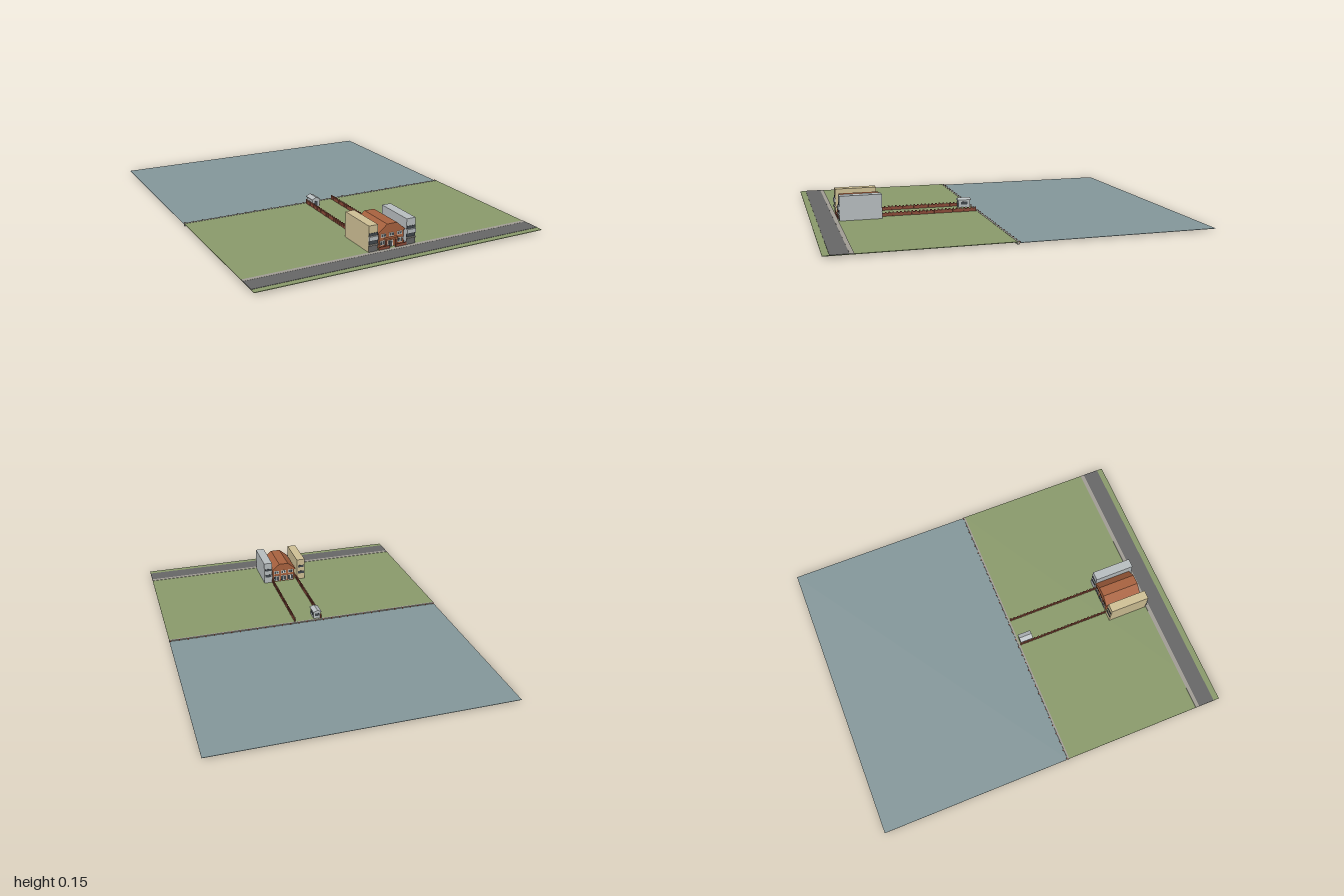
import * as THREE from 'three';

const material = (name, color) => {
  const m = new THREE.MeshStandardMaterial({ color });
  m.name = name;
  return m;
};

export function createModel() {
  const root = new THREE.Group();
  root.name = 'seasidePlot';
  const grass = material('grass', 0x8a9a6b);
  const water = material('water', 0x84979a);
  const asphalt = material('asphalt', 0x676767);
  const stone = material('stone', 0xa09c94);
  const roofTile = material('roofTile', 0xa8623f);
  const brick = material('brick', 0x8a4a38);
  const cream = material('cream', 0xcfc095);
  const grey = material('paleGrey', 0xb8bec0);
  const glass = material('darkGlass', 0x41474c);
  const white = material('whiteTrim', 0xe2dfd6);

  // Box given by its limits on each axis
  const box = (parent, name, mat, [x0, x1], [y0, y1], [z0, z1]) => {
    const mesh = new THREE.Mesh(new THREE.BoxGeometry(x1 - x0, y1 - y0, z1 - z0), mat);
    mesh.position.set((x0 + x1) / 2, (y0 + y1) / 2, (z0 + z1) / 2);
    mesh.name = name;
    parent.add(mesh);
    return mesh;
  };
  const group = (name) => {
    const g = new THREE.Group();
    g.name = name;
    root.add(g);
    return g;
  };
  // Outline in x and y carried along z
  const prism = (parent, name, mat, points, z0, z1) => {
    const shape = new THREE.Shape(points.map(([x, y]) => new THREE.Vector2(x, y)));
    const mesh = new THREE.Mesh(new THREE.ExtrudeGeometry(shape, { depth: z1 - z0, bevelEnabled: false }), mat);
    mesh.position.z = z0;
    mesh.name = name;
    parent.add(mesh);
  };

  // Land, water, road and sea wall
  const W = [-0.806, 0.806], G = 0.014;
  const land = group('land');
  box(land, 'lawn', grass, W, [0.011, G], [0.075, 1]);
  box(land, 'sea', water, W, [0.007, 0.009], [-1, 0.068]);
  box(land, 'pavement', stone, W, [G, 0.016], [0.855, 0.876]);
  box(land, 'road', asphalt, W, [G, 0.0155], [0.876, 0.967]);
  box(land, 'seaWall', stone, W, [0, 0.0155], [0.067, 0.077]);
  for (let i = 0; i < 33; i++) {
    const x = -0.8 + i * 0.05;
    box(land, 'seaWallPost', brick, [x - 0.003, x + 0.003], [0.001, 0.016], [0.062, 0.067]);
  }

  // Garden walls with piers
  const garden = group('gardenWalls');
  for (const x of [-0.089, 0.07]) {
    box(garden, 'gardenWall', brick, [x - 0.0025, x + 0.0025], [G, 0.032], [0.08, 0.83]);
    for (let i = 0; i < 26; i++) {
      const z = 0.085 + i * 0.0212;
      box(garden, 'wallPier', brick, [x - 0.004, x + 0.004], [G, 0.038], [z - 0.004, z + 0.004]);
    }
  }
  for (const [a, b] of [[-0.088, -0.025], [0.008, 0.07]])
    box(garden, 'frontWall', brick, [a, b], [G, 0.03], [0.849, 0.854]);

  // Shed with a shallow pitched roof
  const shed = group('shed');
  box(shed, 'shedBody', grey, [-0.087, -0.045], [G, 0.055], [0.084, 0.152]);
  prism(shed, 'shedRoof', grey, [[-0.092, 0.053], [-0.042, 0.053], [-0.042, 0.057], [-0.067, 0.068], [-0.092, 0.057]], 0.08, 0.156);
  box(shed, 'shedWindow', glass, [-0.0445, -0.043], [0.03, 0.046], [0.1, 0.138]);
  box(shed, 'shedDoor', glass, [-0.076, -0.058], [G, 0.045], [0.152, 0.1535]);
  box(shed, 'shedSeaWindow', glass, [-0.08, -0.053], [0.03, 0.046], [0.0825, 0.084]);

  // Blocks of flats on both sides, with window bands and balconies
  for (const [name, mat, a, b] of [['leftwardFlats', cream, -0.144, -0.093], ['rightwardFlats', grey, 0.071, 0.122]]) {
    const flats = group(name);
    box(flats, 'flatsBody', mat, [a, b], [G, 0.149], [0.62, 0.848]);
    for (const [y0, y1] of [[0.096, 0.11], [0.053, 0.07]]) {
      box(flats, 'windowBand', glass, [a, b], [y0, y1], [0.848, 0.85]);
      box(flats, 'rearWindows', glass, [a + 0.006, b - 0.006], [y0, y1], [0.618, 0.62]);
    }
    box(flats, 'garageDoor', asphalt, [a, b], [G, 0.048], [0.848, 0.85]);
    box(flats, 'balconyFront', grey, [a, b], [0.072, 0.094], [0.848, 0.856]);
    box(flats, 'balconySlab', stone, [a, b], [0.047, 0.053], [0.848, 0.858]);
  }

  // House body and long roof with a flat ridge
  const house = group('house');
  box(house, 'houseWalls', roofTile, [-0.074, 0.066], [G, 0.094], [0.624, 0.83]);
  prism(house, 'houseRoof', roofTile, [[-0.082, 0.09], [0.072, 0.09], [0.072, 0.094], [0.024, 0.135], [-0.032, 0.135], [-0.082, 0.094]], 0.618, 0.834);

  // Windows: white frame with dark panes, facing front or back
  const windowAt = (x, y, w, h, z, dir) => {
    const span = (d0, d1) => (dir > 0 ? [z + d0, z + d1] : [z - d1, z - d0]);
    box(house, 'windowFrame', white, [x - w / 2, x + w / 2], [y - h / 2, y + h / 2], span(0, 0.002));
    for (const s of [-1, 1]) {
      const c = x + (s * w) / 4;
      box(house, 'windowPane', glass, [c - w / 4 + 0.002, c + w / 4 - 0.002], [y - h / 2 + 0.003, y + h / 2 - 0.003], span(0.002, 0.003));
    }
  };
  for (const x of [-0.05, -0.004, 0.042]) {
    windowAt(x, 0.077, 0.028, 0.018, 0.83, 1);
    windowAt(x, 0.077, 0.032, 0.02, 0.624, -1);
    windowAt(x, 0.035, 0.036, 0.034, 0.624, -1);
  }
  for (const x of [-0.054, 0.046]) windowAt(x, 0.04, 0.026, 0.024, 0.83, 1);

  // Porch and front door
  box(house, 'porchRoof', roofTile, [-0.046, 0.024], [0.054, 0.063], [0.83, 0.847]);
  for (const x of [-0.041, 0.019])
    box(house, 'porchPost', brick, [x - 0.004, x + 0.004], [G, 0.054], [0.837, 0.845]);
  box(house, 'doorFrame', white, [-0.026, 0.006], [G, 0.048], [0.83, 0.832]);
  box(house, 'frontDoor', glass, [-0.02, 0], [G, 0.044], [0.832, 0.834]);

  return root;
}
